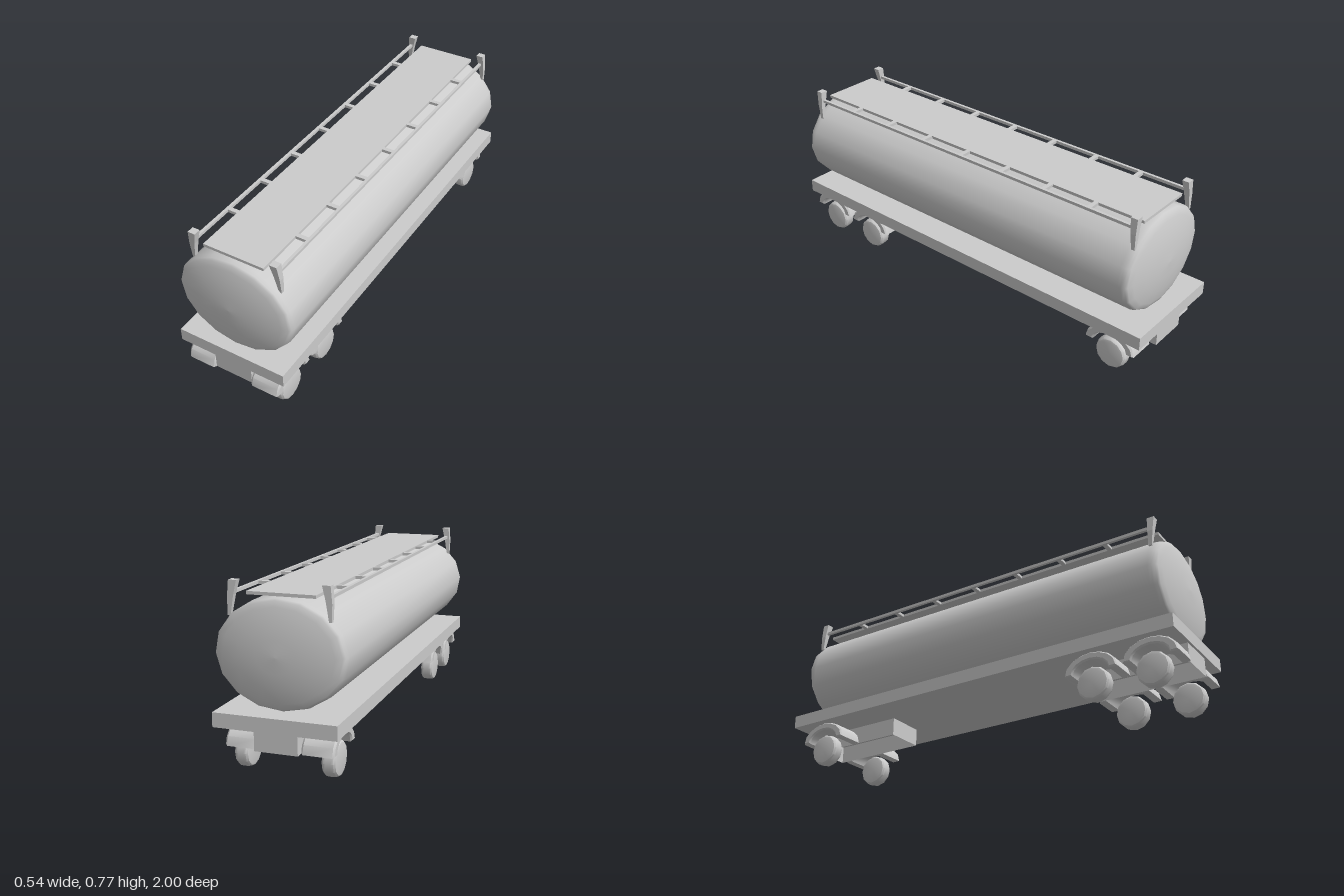
import * as THREE from 'three';
import { toCreasedNormals } from 'three/addons/utils/BufferGeometryUtils.js';

const material = new THREE.MeshStandardMaterial({ color: 0xcccccc });
const thinMaterial = new THREE.MeshStandardMaterial({ color: 0xcccccc, side: THREE.DoubleSide });
const vectors = (list) => list.map(([x, y]) => new THREE.Vector2(x, y));

export function createModel() {
  const model = new THREE.Group();
  model.name = 'tankTrailer';

  const add = (name, geometry, x = 0, y = 0, z = 0, mat = material) => {
    const mesh = new THREE.Mesh(geometry, mat);
    mesh.name = name;
    mesh.position.set(x, y, z);
    model.add(mesh);
    return mesh;
  };
  // Box given by its limits on each axis
  const box = (name, x0, x1, y0, y1, z0, z1) =>
    add(name, new THREE.BoxGeometry(x1 - x0, y1 - y0, z1 - z0),
      (x0 + x1) / 2, (y0 + y1) / 2, (z0 + z1) / 2);

  // Oval tank with shallow domed ends
  const end = [[0, 0.976], [0.3, 0.973], [0.6, 0.964], [0.85, 0.95], [0.95, 0.941], [0.985, 0.932], [1, 0.915], [1, 0.9]];
  const profile = [...end.map(([r, z]) => [r, -z]), ...end.slice().reverse()];
  const tank = new THREE.LatheGeometry(vectors(profile), 16);
  tank.rotateX(Math.PI / 2).rotateZ(-0.045).scale(0.271, 0.223, 1);
  add('tank', tank, 0, 0.49, 0.014);

  // Flat chassis deck
  box('chassis', -0.262, 0.25, 0.205, 0.265, -1, 1);

  // Walkway with a side rail and rungs on either edge
  box('walkway', -0.145, 0.138, 0.714, 0.727, -0.905, 0.925);
  for (const [side, inner, outer] of [['right', -0.145, -0.203], ['left', 0.138, 0.2]]) {
    const s = Math.sign(outer);
    const railInner = outer - s * 0.013;
    box(side + 'Rail', Math.min(outer, railInner), Math.max(outer, railInner), 0.714, 0.727, -0.905, 0.925);
    for (let i = 0; i < 7; i++) {
      const z = -0.678 + i * 0.229;
      box(side + 'Rung', Math.min(inner, railInner), Math.max(inner, railInner), 0.714, 0.727, z - 0.01, z + 0.01);
    }
  }

  // Curved corner posts, narrowing towards the foot
  const postShape = new THREE.Shape(vectors([
    [0.2, 0.63], [0.212, 0.63], [0.213, 0.7], [0.207, 0.768], [0.173, 0.768], [0.187, 0.71],
  ]));
  for (const z of [0.903, -0.915]) {
    for (const s of [1, -1]) {
      const post = new THREE.ExtrudeGeometry(postShape, { depth: 1, bevelEnabled: false });
      const p = post.attributes.position;
      for (let i = 0; i < p.count; i++) {
        const t = (p.getY(i) - 0.63) / 0.138;
        p.setZ(i, p.getZ(i) * (0.016 + 0.016 * t));
      }
      post.computeVertexNormals();
      // A half turn moves the post to the other side without flipping its faces
      if (s < 0) post.rotateY(Math.PI).translate(0, 0, 0.032);
      if (s < 0) {
        for (let i = 0; i < p.count; i++) {
          const t = (p.getY(i) - 0.63) / 0.138;
          p.setZ(i, p.getZ(i) - 0.016 * (1 - t));
        }
        post.computeVertexNormals();
      }
      add(s > 0 ? 'leftPost' : 'rightPost', post, 0, 0, z);
    }
  }

  // Hollow axle frames, open underneath
  for (const [name, z0, z1] of [['frontAxleFrame', 0.495, 0.99], ['rearAxleFrame', -0.985, -0.51]]) {
    const frame = new THREE.Group();
    frame.name = name;
    for (const s of [1, -1]) {
      const sideWall = new THREE.Mesh(new THREE.PlaneGeometry(z1 - z0, 0.084).rotateY(s * Math.PI / 2), thinMaterial);
      sideWall.position.x = s * 0.09;
      const endWall = new THREE.Mesh(new THREE.PlaneGeometry(0.18, 0.084), thinMaterial);
      if (s < 0) endWall.rotation.y = Math.PI;
      endWall.position.z = s * (z1 - z0) / 2;
      sideWall.name = 'sideWall';
      endWall.name = 'endWall';
      frame.add(sideWall, endWall);
    }
    frame.position.set(-0.007, 0.164, (z0 + z1) / 2);
    model.add(frame);
  }

  // Twelve-sided wheel with rounded shoulders
  const wheel = toCreasedNormals(new THREE.LatheGeometry(vectors([
    [0, -0.031], [0.056, -0.031], [0.067, -0.028], [0.073, -0.02], [0.0745, -0.01],
    [0.0745, 0.01], [0.073, 0.02], [0.067, 0.028], [0.056, 0.031], [0, 0.031],
  ]), 12).rotateZ(Math.PI / 2), 0.65);

  // Arched mudguard, bevelled along its rims
  const arc = (rz, ry) => Array.from({ length: 9 }, (_, i) => {
    const a = Math.PI * i / 8;
    return [rz * Math.cos(a), ry * Math.sin(a)];
  });
  const guardShape = new THREE.Shape(vectors([...arc(0.114, 0.076), ...arc(0.088, 0.056).reverse()]));
  const guard = toCreasedNormals(new THREE.ExtrudeGeometry(guardShape, {
    depth: 0.12, bevelSize: 0.006, bevelThickness: 0.008, bevelSegments: 1,
  }).translate(0, 0, -0.06).rotateY(Math.PI / 2), 0.6);

  for (const z of [0.88, 0.615, -0.837]) {
    for (const [side, s] of [['left', 1], ['right', -1]]) {
      add(side + 'Wheel', wheel, -0.006 + s * 0.183, 0.0755, z);
      add(side + 'Mudguard', guard, -0.007 + s * 0.158, 0.124, z);
    }
  }
  return model;
}
